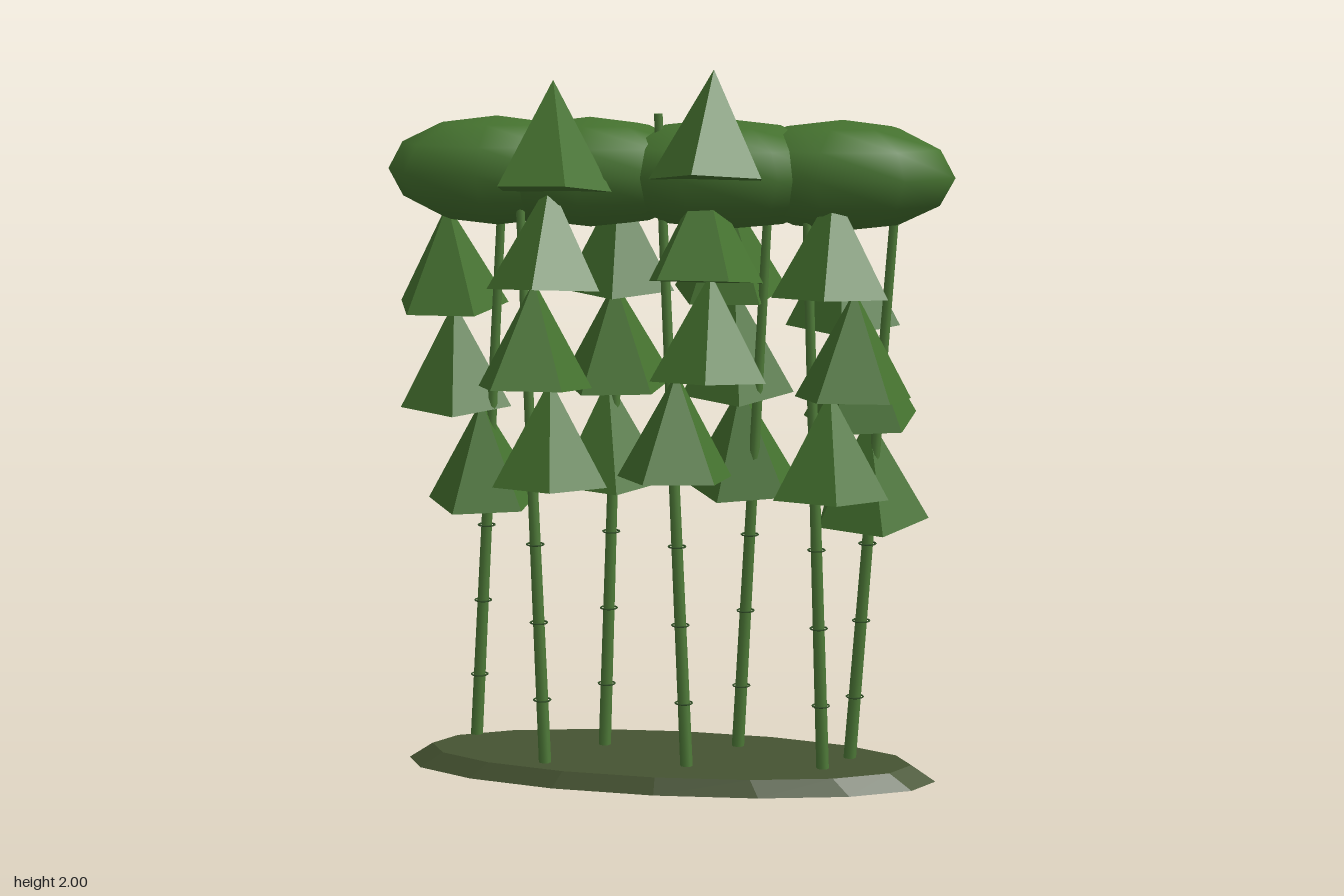
import * as THREE from 'three';

const foliage = new THREE.MeshStandardMaterial({ color: 0x45722f, flatShading: true });
const canopyGreen = new THREE.MeshStandardMaterial({ color: 0x45722f });
const stalkGreen = new THREE.MeshStandardMaterial({ color: 0x4e7a38 });
const ringGreen = new THREE.MeshStandardMaterial({ color: 0x35552a });
const soil = new THREE.MeshStandardMaterial({ color: 0x465432, flatShading: true });

const UP = new THREE.Vector3(0, 1, 0);
const TIER = 0.277; // height step between leaf clusters

function add(parent, name, geometry, material) {
  const mesh = new THREE.Mesh(geometry, material);
  mesh.name = name;
  parent.add(mesh);
  return mesh;
}

// Places a y-aligned mesh so its axis runs from a to b
function span(mesh, a, b) {
  mesh.position.lerpVectors(a, b, 0.5);
  mesh.quaternion.setFromUnitVectors(UP, b.clone().sub(a).normalize());
}

// foot and top are [x, z]; leafX lists the clusters from the lowest up,
// leafY is the lowest cluster's base height, leafZ its z at the lowest and highest cluster,
// tilt is how far each apex leans back toward the middle at the lowest and highest cluster
const stalks = [
  { foot: [-0.32, 0.14], top: [-0.39, 0.11], leafX: [-0.305, -0.345, -0.295, -0.28], leafY: 0.84, leafZ: [0.13, 0.22], tilt: [0.015, 0.05] },
  { foot: [0.08, 0.11], top: [-0.01, 0.06], height: 1.87, leafX: [0.05, 0.145, 0.13, 0.155], leafY: 0.87, leafZ: [0.13, 0.19], tilt: [0.015, 0.055] },
  { foot: [0.46, 0.07], top: [0.4, 0.08], leafX: [0.475, 0.54, 0.48], leafY: 0.83, leafZ: [0.13, 0.14], tilt: [0.015, 0.02] },
  { foot: [-0.58, -0.12], top: [-0.48, -0.1], leafX: [-0.55, -0.635, -0.66], leafY: 0.74, leafZ: [-0.13, -0.2], tilt: [0.03, 0.03] },
  { foot: [-0.19, -0.07], top: [-0.14, -0.1], leafX: [-0.18, -0.16, -0.15], leafY: 0.815, leafZ: [-0.12, -0.13], tilt: [0.03, 0.03] },
  { foot: [0.19, -0.12], top: [0.28, -0.08], leafX: [0.195, 0.175, 0.15], leafY: 0.8, leafZ: [-0.18, -0.19], tilt: [0.05, 0.05] },
  { foot: [0.52, -0.05], top: [0.64, -0.02], leafX: [0.565, 0.54, 0.485], leafY: 0.735, leafZ: [-0.1, -0.11], tilt: [0.05, 0.04] },
];

function buildStalk({ foot, top, height = 1.7, leafX, leafY, leafZ, tilt }, index) {
  const group = new THREE.Group();
  group.name = 'stalk' + (index + 1);
  const a = new THREE.Vector3(foot[0], 0.01, foot[1]);
  const b = new THREE.Vector3(top[0], height, top[1]);
  span(add(group, 'stem', new THREE.CylinderGeometry(0.012, 0.018, a.distanceTo(b), 8), stalkGreen), a, b);

  // Joint rings
  for (const y of [0.225, 0.447, 0.67]) {
    const ring = add(group, 'jointRing', new THREE.TorusGeometry(0.024, 0.0025, 4, 12), ringGreen);
    ring.rotation.x = Math.PI / 2;
    ring.position.lerpVectors(a, b, (y - a.y) / (b.y - a.y));
  }

  // Five-sided leaf clusters, their bases tilted outward
  leafX.forEach((x, i) => {
    const t = i / (leafX.length - 1);
    const z = THREE.MathUtils.lerp(...leafZ, t);
    const lean = THREE.MathUtils.lerp(...tilt, t);
    const y = leafY + i * TIER;
    const base = new THREE.Vector3(x, y, z);
    const apex = new THREE.Vector3(x, y + 0.295, z - Math.sign(z) * lean);
    const turn = index * 0.65 + i * 0.5 + 0.2;
    const cone = new THREE.ConeGeometry(0.167, apex.distanceTo(base), 5).rotateY(turn);
    span(add(group, 'leafCluster', cone, foliage), base, apex);
  });
  return group;
}

export function createModel() {
  const model = new THREE.Group();
  model.name = 'grove';

  // Oval ground
  const ground = add(model, 'groundMound', new THREE.CylinderGeometry(0.91, 1, 0.045, 16), soil);
  ground.scale.set(0.76, 1, 0.265);
  ground.position.set(0.01, 0.0225, 0);

  stalks.forEach((s, i) => model.add(buildStalk(s, i)));

  // Overlapping canopy lobes: centre x, z, half length, half depth, turn of the facets
  const lobes = [
    [-0.475, 0, 0.315, 0.2, -0.05], [-0.21, 0.005, 0.33, 0.215, 0],
    [0.165, 0.012, 0.345, 0.23, -0.25], [0.49, 0, 0.315, 0.208, -0.15],
  ];
  for (const [x, z, rx, rz, turn] of lobes) {
    const lobe = add(model, 'canopyLobe', new THREE.SphereGeometry(1, 8, 6).rotateY(turn), canopyGreen);
    lobe.scale.set(rx, 0.152, rz);
    lobe.position.set(x, 1.703, z);
  }
  return model;
}
